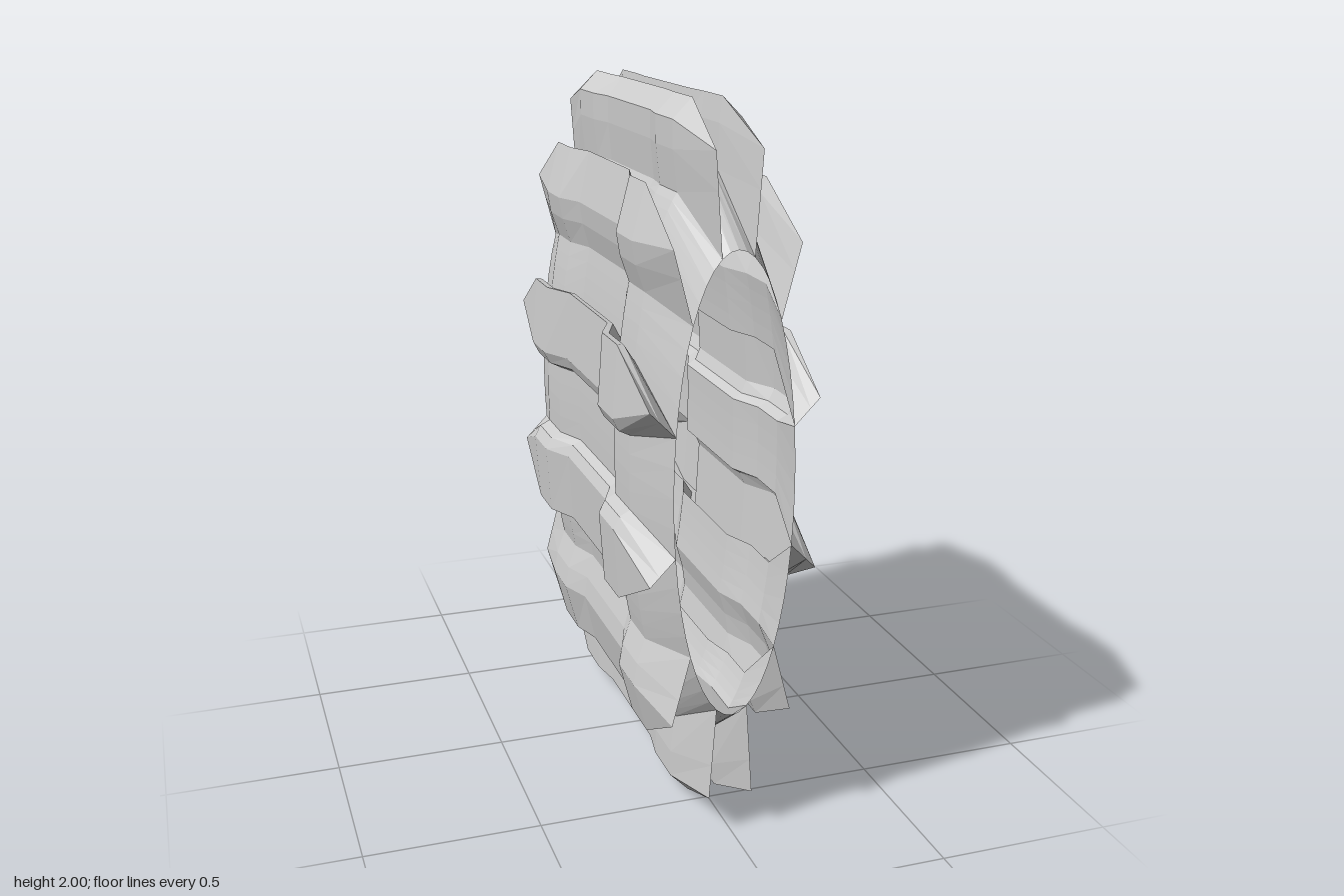
import * as THREE from 'three';

const TEETH = 12;
const SQUASH = 0.263; // the ring is a narrow ellipse in x
const RAD = Math.PI / 180;

// One tooth and the valley after it: [degrees from tooth centre, radius,
// degrees at the open end, radius at the open end]
const PROFILE = [
  [-7.5, 0.82, 0, 0.645],
  [-7.5, 0.94, 0, 0.82],
  [-6, 1.013, 0, 0.925],
  [6, 1.013, 0, 0.925],
  [7.5, 0.94, 0, 0.82],
  [7.5, 0.82, 0, 0.645],
  [11.25, 0.82, 7.5, 0.645],
  [15, 0.82, 15, 0.645],
  [18.75, 0.82, 22.5, 0.645],
];

// Cross-sections along the axis: [z, x scale, is open end]
const SECTIONS = [
  [-0.68, 1, true],
  [-0.44, 1, false],
  [-0.3, 1, false],
  [-0.2, 0.82, false],
  [0.2, 0.82, false],
  [0.3, 1, false],
  [0.44, 1, false],
  [0.68, 1, true],
];

function sectionPoints([z, scale, end]) {
  const points = [];
  for (let t = 0; t < TEETH; t++) {
    const centre = 15 + (t * 360) / TEETH;
    for (const [a, r, endA, endR] of PROFILE) {
      const angle = (centre + (end ? endA : a)) * RAD;
      const radius = end ? endR : r;
      points.push([Math.sin(angle) * radius * SQUASH * scale, 1 + Math.cos(angle) * radius, z]);
    }
  }
  return points;
}

// Join neighbouring cross-sections with quads
function loft(sections) {
  const rings = sections.map(sectionPoints);
  const n = rings[0].length;
  const positions = [];
  for (let s = 0; s < rings.length - 1; s++) {
    for (let i = 0; i < n; i++) {
      const j = (i + 1) % n;
      const a = rings[s][i], b = rings[s][j];
      const c = rings[s + 1][j], d = rings[s + 1][i];
      positions.push(...a, ...c, ...b, ...a, ...d, ...c);
    }
  }
  const geometry = new THREE.BufferGeometry();
  geometry.setAttribute('position', new THREE.Float32BufferAttribute(positions, 3));
  geometry.computeVertexNormals();
  return geometry;
}

export function createModel() {
  const group = new THREE.Group();
  group.name = 'toothedRing';
  // Open toothed shell with a waist and blade-like tooth ends
  const material = new THREE.MeshStandardMaterial({
    color: 0xcccccc,
    flatShading: true,
    side: THREE.DoubleSide,
  });
  const shell = new THREE.Mesh(loft(SECTIONS), material);
  shell.name = 'toothedShell';
  group.add(shell);
  return group;
}
